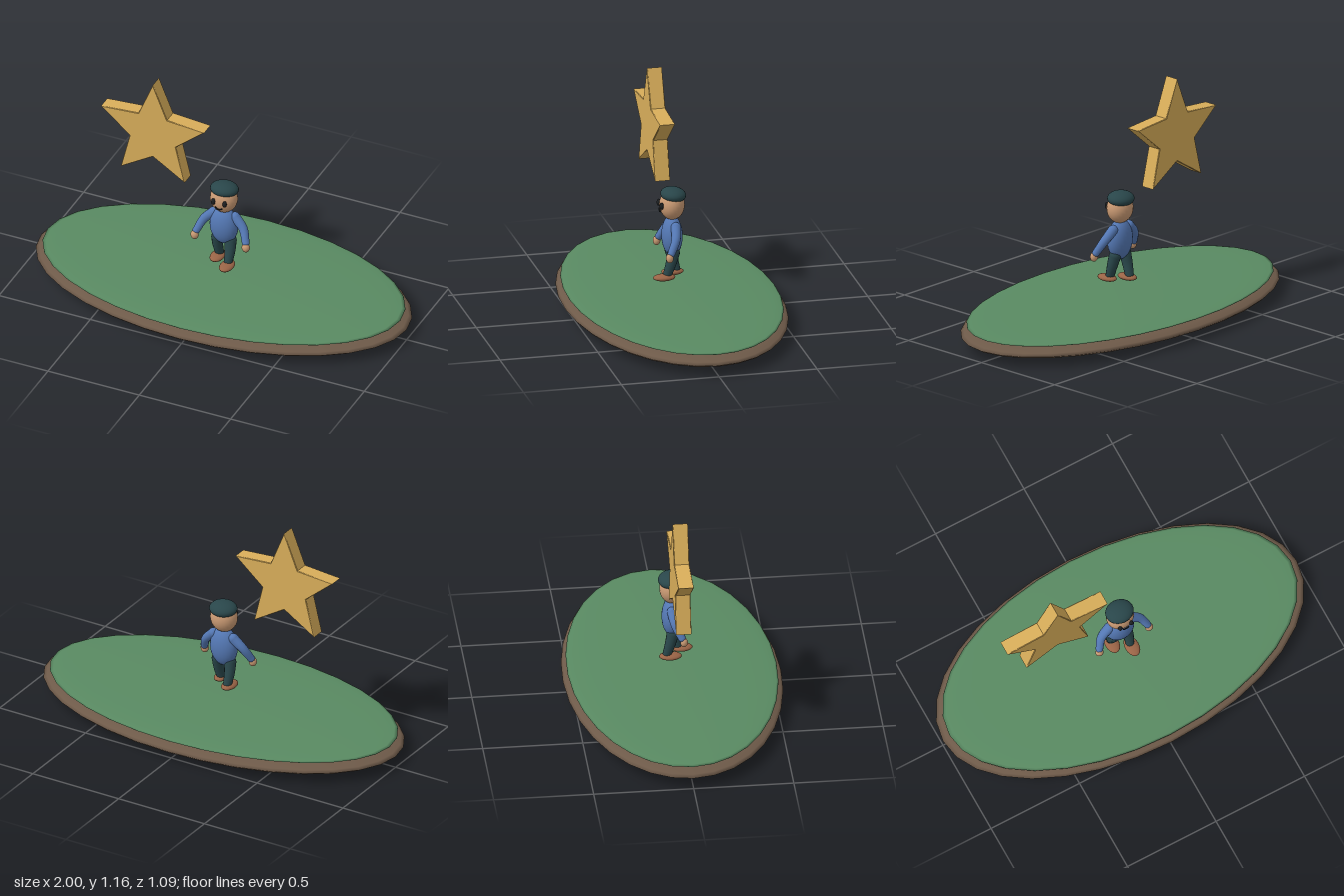
import * as THREE from 'three';

const mat = (name, color) => {
  const m = new THREE.MeshStandardMaterial({ color });
  m.name = name;
  return m;
};

export function createModel() {
  const grass = mat('grass green', 0x598a62);
  const earth = mat('earth brown', 0x6e5a49);
  const gold = mat('star gold', 0xd9ae5a);
  const skin = mat('skin', 0xcb9b74);
  const shirt = mat('shirt blue', 0x5478b4);
  const cloth = mat('dark teal cloth', 0x29464a);
  const leather = mat('shoe brown', 0x9a6446);
  const ink = mat('ink', 0x1d2022);

  const root = new THREE.Group();
  root.name = 'islandScene';

  const add = (parent, name, geometry, material) => {
    const mesh = new THREE.Mesh(geometry, material);
    mesh.name = name;
    parent.add(mesh);
    return mesh;
  };

  // Squashed ball given by centre and radii
  const ball = (parent, name, material, centre, radii, w = 24, h = 16) => {
    const mesh = add(parent, name, new THREE.SphereGeometry(1, w, h), material);
    mesh.position.set(...centre);
    mesh.scale.set(...radii);
    return mesh;
  };

  // Curved limb that tapers from r0 to r1, with a rounded upper end
  const limb = (parent, name, material, points, r0, r1) => {
    const group = new THREE.Group();
    group.name = name;
    parent.add(group);
    const curve = new THREE.CatmullRomCurve3(points.map(p => new THREE.Vector3(...p)));
    const rings = 12, sides = 14;
    const geo = new THREE.TubeGeometry(curve, rings, 1, sides, false);
    const pos = geo.attributes.position;
    const v = new THREE.Vector3();
    for (let i = 0; i <= rings; i++) {
      const c = curve.getPointAt(i / rings);
      const r = THREE.MathUtils.lerp(r0, r1, i / rings);
      for (let j = 0; j <= sides; j++) {
        const k = i * (sides + 1) + j;
        v.fromBufferAttribute(pos, k).sub(c).multiplyScalar(r).add(c);
        pos.setXYZ(k, v.x, v.y, v.z);
      }
    }
    add(group, name + 'Sleeve', geo, material);
    ball(group, name + 'Top', material, points[0], [r0, r0, r0], 14, 10);
    ball(group, name + 'End', material, points[points.length - 1], [r1, r1, r1], 14, 10);
  };

  // Island: earth lens with a thinner grass lens on top
  ball(root, 'islandBase', earth, [0, 0.06, 0], [1, 0.059, 0.545], 32, 16);
  ball(root, 'islandGrass', grass, [0, 0.105, 0], [0.965, 0.018, 0.522], 32, 16);

  // Floating five-pointed star with a fine bevel
  const starShape = new THREE.Shape();
  for (let i = 0; i < 10; i++) {
    const a = Math.PI / 2 + (i * Math.PI) / 5;
    const r = i % 2 ? 0.133 : 0.297;
    const x = r * Math.cos(a), y = r * Math.sin(a);
    if (i) starShape.lineTo(x, y);
    else starShape.moveTo(x, y);
  }
  starShape.closePath();
  const starGeo = new THREE.ExtrudeGeometry(starShape, {
    depth: 0.07, bevelEnabled: true, bevelSize: 0.003, bevelOffset: -0.003,
    bevelThickness: 0.003, bevelSegments: 1,
  });
  starGeo.translate(0, 0, -0.035);
  add(root, 'star', starGeo, gold).position.set(-0.373, 0.863, 0);

  // Walking figure
  const figure = new THREE.Group();
  figure.name = 'figure';
  root.add(figure);

  ball(figure, 'torso', shirt, [0, 0.405, 0], [0.075, 0.105, 0.052]);
  ball(figure, 'head', skin, [0, 0.568, 0], [0.071, 0.077, 0.063]);
  const cap = ball(figure, 'cap', cloth, [0, 0.62, -0.006], [0.073, 0.036, 0.064]);
  cap.rotation.x = -0.1;

  // Smile
  const arc = Math.PI * 0.8;
  const smile = add(figure, 'smile', new THREE.TorusGeometry(0.02, 0.0035, 8, 16, arc), ink);
  smile.position.set(0, 0.555, 0.062);
  smile.rotation.z = -Math.PI / 2 - arc / 2;

  for (const [side, s] of [['left', 1], ['right', -1]]) {
    ball(figure, side + 'Eye', ink, [s * 0.031, 0.573, 0.06], [0.011, 0.018, 0.011], 14, 10);

    // Both arms swing slightly forward
    limb(figure, side + 'Arm', shirt,
      [[s * 0.058, 0.465, -0.006], [s * 0.108, 0.415, 0.006], [s * 0.136, 0.355, 0.036]], 0.026, 0.019);
    ball(figure, side + 'Hand', skin, [s * 0.14, 0.335, 0.045], [0.021, 0.025, 0.019], 16, 12);

    // Left leg steps forward, right leg trails
    const foot = s > 0 ? 0.033 : -0.029;
    limb(figure, side + 'Leg', cloth,
      [[s * 0.036, 0.325, 0], [s * 0.04, 0.27, foot * 0.45], [s * 0.038, 0.212, foot]], 0.031, 0.022);
    ball(figure, side + 'Shoe', leather, [s * 0.04, 0.201, foot + 0.017], [0.036, 0.017, 0.057], 18, 12);
  }

  return root;
}
